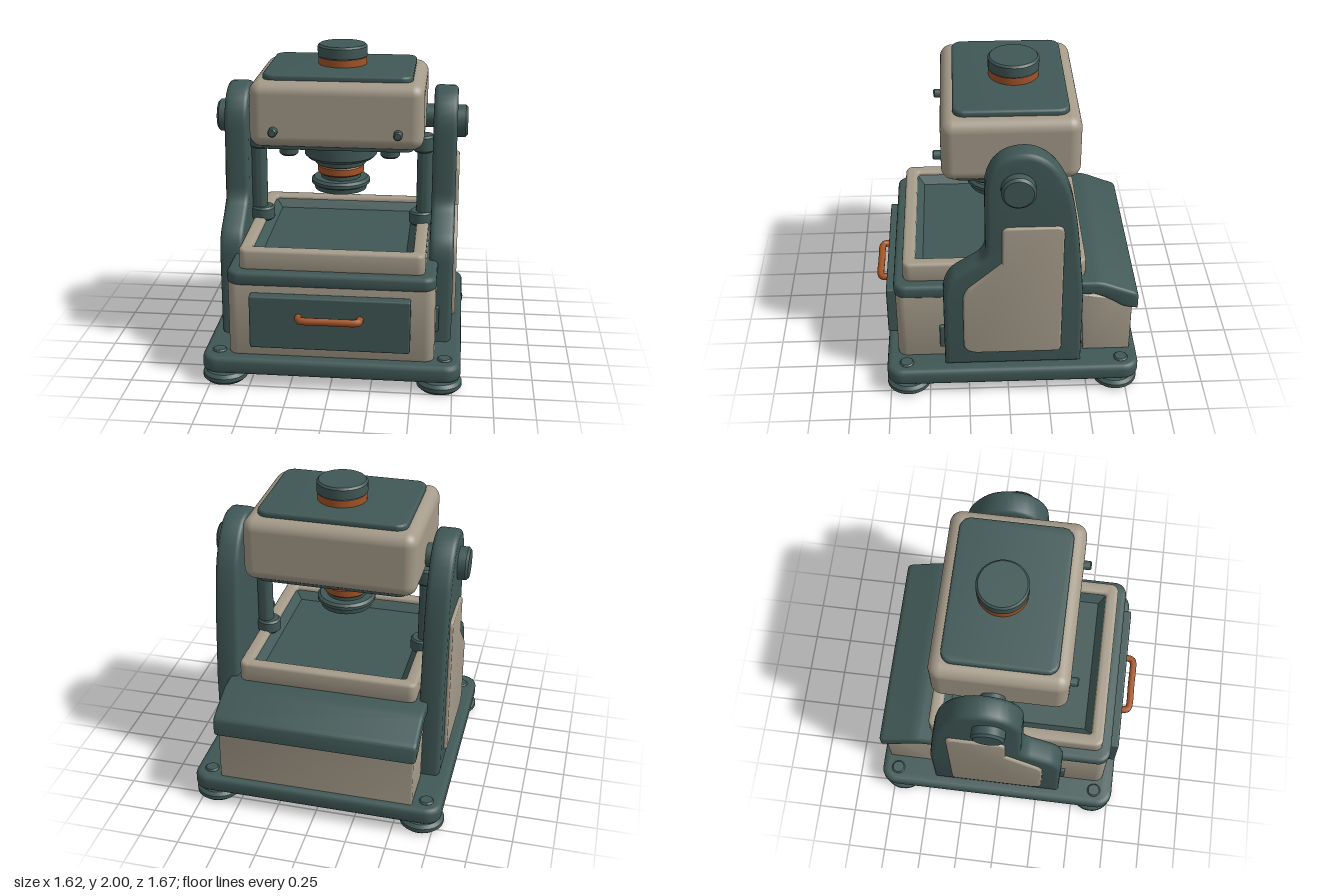
import * as THREE from 'three';
import { toCreasedNormals } from 'three/addons/utils/BufferGeometryUtils.js';
import { RoundedBoxGeometry } from 'three/addons/geometries/RoundedBoxGeometry.js';

export function createModel() {
  const group = new THREE.Group();
  const material = (name, color) => {
    const m = new THREE.MeshStandardMaterial({ color, side: THREE.DoubleSide });
    m.name = name;
    return m;
  };
  const dark = material('dark green', 0x405856);
  const cream = material('cream', 0xa59b8a);
  const orange = material('burnt orange', 0xa35426);

  const add = (name, geometry, mat, x = 0, y = 0, z = 0) => {
    const mesh = new THREE.Mesh(geometry, mat);
    mesh.name = name;
    mesh.position.set(x, y, z);
    group.add(mesh);
    return mesh;
  };
  const extrude = (shape, depth, bevel) => {
    const g = new THREE.ExtrudeGeometry(shape, {
      depth: depth - 2 * bevel, bevelEnabled: bevel > 0, bevelSize: bevel, bevelOffset: -bevel,
      bevelThickness: bevel, bevelSegments: 3, curveSegments: 8,
    });
    g.translate(0, 0, bevel);
    return toCreasedNormals(g, 0.6);
  };
  const roundRect = (w, h, r, Type = THREE.Shape) => {
    const s = new Type(), x = w / 2, y = h / 2;
    s.absarc(x - r, y - r, r, 0, Math.PI / 2);
    s.absarc(-x + r, y - r, r, Math.PI / 2, Math.PI);
    s.absarc(-x + r, -y + r, r, Math.PI, Math.PI * 1.5);
    s.absarc(x - r, -y + r, r, Math.PI * 1.5, Math.PI * 2);
    s.closePath();
    return s;
  };
  // Horizontal slab with rounded corners, from y0 to y1 and z0 to z1
  const slab = (name, mat, w, y0, y1, z0, z1, r, bevel, hole) => {
    const shape = roundRect(w, z1 - z0, r);
    if (hole) shape.holes.push(hole);
    return add(name, extrude(shape, y1 - y0, bevel).rotateX(-Math.PI / 2), mat, 0, y0, (z0 + z1) / 2);
  };
  // Side profile given as (-z, y), extruded across x from x0 to x1
  const sidePart = (name, mat, shape, x0, x1, bevel) =>
    add(name, extrude(shape, x1 - x0, bevel).rotateY(Math.PI / 2), mat, x0);
  // Turned part from [radius, y] pairs
  const turned = (name, mat, points, x, z) => add(name, toCreasedNormals(
    new THREE.LatheGeometry(points.map(p => new THREE.Vector2(...p)), 32), 0.6), mat, x, 0, z);
  const disc = (name, mat, r, y0, y1, x, z, b = 0.012) => turned(name, mat,
    [[0, y0], [r - b, y0], [r, y0 + b], [r, y1 - b], [r - b, y1], [0, y1]], x, z);

  // Base plate, feet and corner bolts
  slab('basePlate', dark, 1.6, 0.08, 0.19, -0.83, 0.77, 0.1, 0.03);
  for (const s of [-1, 1]) {
    for (const [footZ, boltZ] of [[0.635, 0.645], [-0.69, -0.72]]) {
      disc('foot', dark, 0.14, 0, 0.065, s * 0.67, footZ, 0.02);
      disc('footStem', dark, 0.06, 0.06, 0.09, s * 0.67, footZ);
      disc('cornerBolt', dark, 0.045, 0.18, 0.2, s * 0.7, boltZ, 0.008);
    }
  }

  // Body, deck and drawer
  slab('body', cream, 1.27, 0.19, 0.67, -0.44, 0.7, 0.06, 0.01);
  slab('deck', dark, 1.28, 0.65, 0.74, -0.5, 0.71, 0.08, 0.025);
  add('drawerFront', new RoundedBoxGeometry(0.98, 0.34, 0.07, 2, 0.012), dark, 0, 0.44, 0.73);
  const handlePath = new THREE.CatmullRomCurve3([
    [-0.185, 0.74], [-0.185, 0.79], [-0.175, 0.81], [-0.15, 0.817], [0, 0.817],
    [0.15, 0.817], [0.175, 0.81], [0.185, 0.79], [0.185, 0.74],
  ].map(([x, z]) => new THREE.Vector3(x, 0.485, z)), false, 'centripetal');
  add('drawerHandle', new THREE.TubeGeometry(handlePath, 48, 0.023, 10), orange);

  // Rear housing with a sloping hood
  const rear = new THREE.Shape();
  rear.moveTo(0.485, 0.19);
  rear.lineTo(0.785, 0.19);
  rear.lineTo(0.785, 0.56);
  rear.lineTo(0.7, 0.6);
  rear.lineTo(0.46, 0.64);
  sidePart('rearHousing', cream, rear, -0.62, 0.62, 0.01);
  const hood = new THREE.Shape();
  hood.moveTo(0.44, 0.65);
  hood.lineTo(0.54, 0.65);
  hood.quadraticCurveTo(0.6, 0.635, 0.7, 0.565);
  hood.quadraticCurveTo(0.73, 0.54, 0.82, 0.53);
  hood.lineTo(0.82, 0.62);
  hood.quadraticCurveTo(0.815, 0.65, 0.78, 0.66);
  hood.lineTo(0.62, 0.725);
  hood.quadraticCurveTo(0.58, 0.74, 0.54, 0.74);
  hood.lineTo(0.44, 0.74);
  sidePart('rearHood', dark, hood, -0.64, 0.64, 0.02);

  // Work tray: cream rim, sloping walls and flat bed
  slab('trayRim', cream, 1.14, 0.73, 0.865, -0.49, 0.65, 0.05, 0.02,
    roundRect(0.98, 0.98, 0.02, THREE.Path));
  const walls = new THREE.CylinderGeometry(0.515 * Math.SQRT2, 0.44 * Math.SQRT2, 0.08, 4, 1, true);
  add('trayWalls', walls.rotateY(Math.PI / 4).toNonIndexed(), dark, 0, 0.825, 0.08)
    .geometry.computeVertexNormals();
  add('trayBed', new THREE.BoxGeometry(0.9, 0.05, 0.9), dark, 0, 0.765, 0.08);

  // Side frames, inset panels, pivots and guide columns
  const frame = new THREE.Shape();
  frame.moveTo(-0.4, 0.19);
  frame.lineTo(0.46, 0.19);
  frame.lineTo(0.46, 0.72);
  frame.lineTo(0.425, 1.1);
  frame.bezierCurveTo(0.4, 1.35, 0.37, 1.48, 0.33, 1.55);
  frame.bezierCurveTo(0.27, 1.68, 0.18, 1.74, 0.09, 1.74);
  frame.bezierCurveTo(-0.05, 1.74, -0.14, 1.64, -0.14, 1.48);
  frame.lineTo(-0.14, 1.1);
  frame.quadraticCurveTo(-0.14, 1.02, -0.2, 0.98);
  frame.lineTo(-0.32, 0.9);
  frame.quadraticCurveTo(-0.4, 0.84, -0.4, 0.72);
  const inset = new THREE.Shape();
  inset.moveTo(-0.2, 0.3);
  inset.lineTo(0.3, 0.3);
  inset.quadraticCurveTo(0.33, 0.3, 0.33, 0.34);
  inset.lineTo(0.33, 1.2);
  inset.quadraticCurveTo(0.33, 1.25, 0.29, 1.25);
  inset.lineTo(0.01, 1.25);
  inset.quadraticCurveTo(-0.04, 1.25, -0.04, 1.21);
  inset.lineTo(-0.04, 0.99);
  inset.lineTo(-0.23, 0.82);
  inset.quadraticCurveTo(-0.28, 0.78, -0.28, 0.7);
  inset.lineTo(-0.28, 0.37);
  inset.quadraticCurveTo(-0.28, 0.31, -0.2, 0.3);
  for (const s of [-1, 1]) {
    const span = (a, b) => (s > 0 ? [a, b] : [-b, -a]);
    sidePart('sideFrame', dark, frame, ...span(0.585, 0.735), 0.03);
    sidePart('sideInset', cream, inset, ...span(0.715, 0.755), 0.012);
    add('sideBlock', new RoundedBoxGeometry(0.06, 0.17, 0.08, 2, 0.01), dark, s * 0.625, 0.355, 0.39);
    const cap = disc('pivotCap', dark, 0.103, 0.7, 0.8, 0, -0.055, 0.015);
    cap.rotation.z = -s * Math.PI / 2;
    cap.position.y = 1.52;
    const shaft = disc('pivotShaft', dark, 0.075, 0.5, 0.6, 0, -0.055, 0.005);
    shaft.rotation.z = -s * Math.PI / 2;
    shaft.position.y = 1.55;
    disc('guideColumn', dark, 0.05, 0.74, 1.44, s * 0.535, 0, 0.002);
    disc('lowerCollar', dark, 0.075, 0.84, 0.93, s * 0.515, 0);
    disc('upperCollar', dark, 0.07, 1.33, 1.44, s * 0.525, 0);
  }

  // Head with lid, top knob and front bolts
  add('head', new RoundedBoxGeometry(1.07, 0.41, 0.83, 5, 0.075), cream, 0, 1.635, -0.025);
  slab('headUnderplate', dark, 0.94, 1.41, 1.45, -0.38, 0.33, 0.06, 0.005);
  slab('headLid', dark, 0.92, 1.825, 1.875, -0.37, 0.315, 0.07, 0.015);
  disc('topKnobBand', orange, 0.153, 1.865, 1.925, 0, -0.06, 0.005);
  disc('topKnob', dark, 0.157, 1.915, 2, 0, -0.06);
  for (const s of [-1, 1]) {
    const bolt = disc('headBolt', dark, 0.028, 0.36, 0.44, s * 0.38, 0, 0.008);
    bolt.rotation.x = Math.PI / 2;
    bolt.position.y = 1.54;
    disc('headPeg', dark, 0.06, 1.325, 1.43, s * 0.32, 0.14);
  }

  // Stepped press tool below the head
  disc('toolMount', dark, 0.23, 1.3, 1.43, 0, 0.05, 0.02);
  turned('toolNeck', dark, [[0, 1.16], [0.125, 1.16], [0.125, 1.245], [0.16, 1.26], [0.165, 1.31], [0, 1.31]], 0, 0.05);
  disc('toolBand', orange, 0.147, 1.195, 1.252, 0, 0.05, 0.008);
  turned('toolFoot', dark, [[0, 1.09], [0.165, 1.09], [0.17, 1.12], [0.187, 1.13], [0.187, 1.15], [0.17, 1.165], [0, 1.165]], 0, 0.05);

  return group;
}
